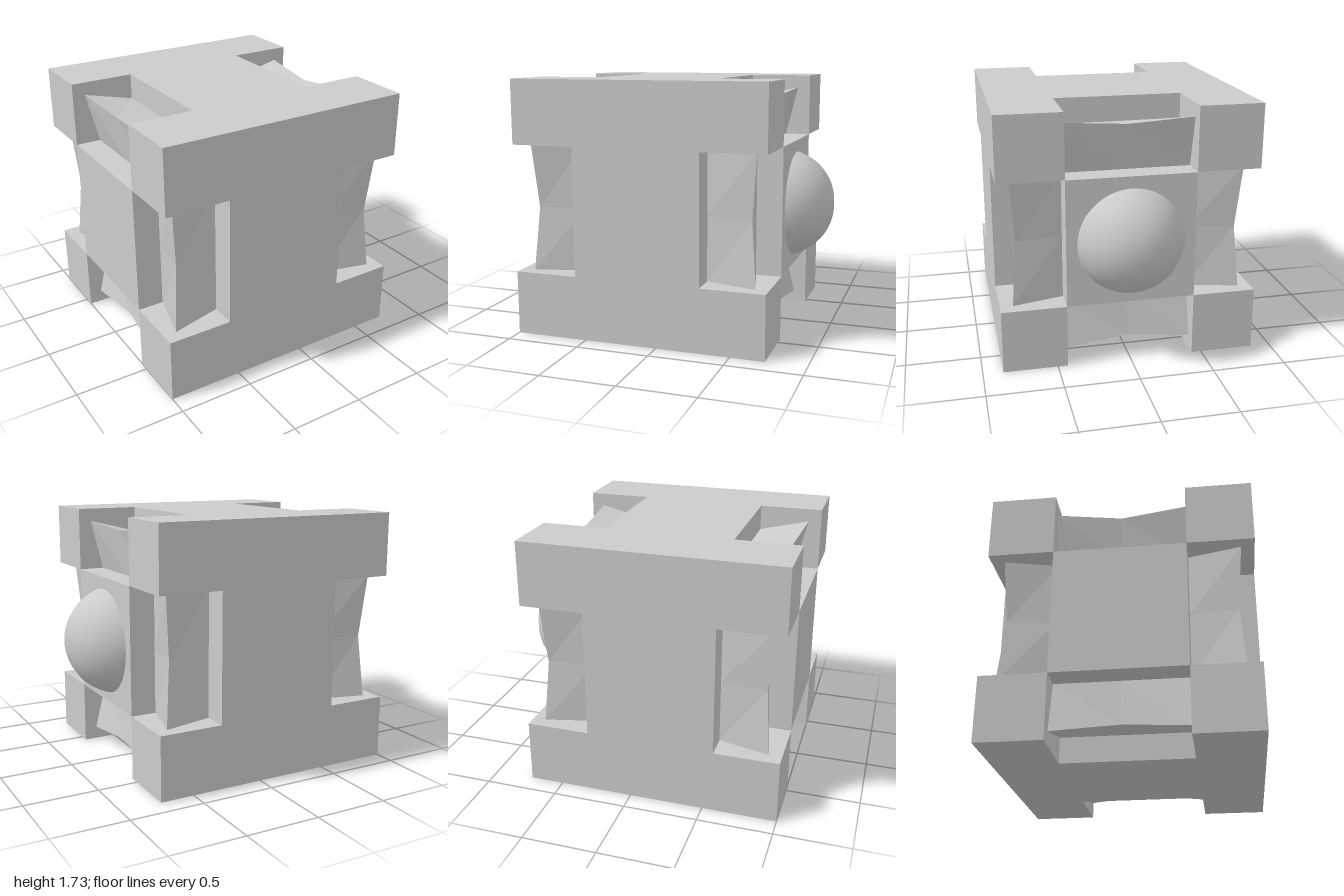
import * as THREE from 'three';

const H = 0.865;          // half side of the cube
const N = H / 2;          // notch depth, also half the notch length
const grey = new THREE.MeshStandardMaterial({ color: 0xcccccc });

function addMesh(parent, name, geometry, material = grey) {
  const mesh = new THREE.Mesh(geometry, material);
  mesh.name = name;
  parent.add(mesh);
  return mesh;
}

// Layer of the cube: an outline in the xy plane with a thickness along z
function layer(points, z0, z1) {
  const shape = new THREE.Shape(points.map(([x, y]) => new THREE.Vector2(x, y)));
  return new THREE.ExtrudeGeometry(shape, { depth: z1 - z0, bevelEnabled: false }).translate(0, 0, z0);
}

// Ridged bar along y with its ridge towards +x +z, pinched at mid length
function barGeometry() {
  const base = H - 0.173;
  const sections = [[-N, H - 0.087], [0, H - 0.122], [N, H - 0.087]];
  const positions = [];
  const index = [];
  for (const [y, ridge] of sections) {
    positions.push(N, y, base, ridge, y, ridge, base, y, N);
  }
  for (let s = 0; s < 2; s++) {
    for (let k = 0; k < 2; k++) {
      const a = s * 3 + k, b = a + 1, c = a + 4, d = a + 3;
      index.push(a, b, c, a, c, d);
    }
  }
  const indexed = new THREE.BufferGeometry();
  indexed.setAttribute('position', new THREE.Float32BufferAttribute(positions, 3));
  indexed.setIndex(index);
  const geometry = indexed.toNonIndexed();
  geometry.computeVertexNormals();
  return geometry;
}

export function createModel() {
  const model = new THREE.Group();
  model.name = 'notchedCube';
  const cube = new THREE.Group();
  cube.name = 'cube';
  cube.position.set(H - 1, H, 0);
  model.add(cube);

  // Front and back plates, notched at the middle of both sides
  const notched = [
    [-H, -H], [H, -H], [H, -N], [N, -N], [N, N], [H, N],
    [H, H], [-H, H], [-H, N], [-N, N], [-N, -N], [-H, -N],
  ];
  addMesh(cube, 'frontPlate', layer(notched, N, H));
  addMesh(cube, 'backPlate', layer(notched, -H, -N));

  // Middle layer, cross shaped: the top and bottom notches run through it
  const cross = [
    [-N, -H], [N, -H], [N, -N], [H, -N], [H, N], [N, N],
    [N, H], [-N, H], [-N, N], [-H, N], [-H, -N], [-N, -N],
  ];
  addMesh(cube, 'middleLayer', layer(cross, -N, N));

  // Four upright bars, and four lying in the top and bottom notches
  const bar = barGeometry();
  for (const [name, tilt] of [['uprightBars', 0], ['lyingBars', Math.PI / 2]]) {
    const bars = new THREE.Group();
    bars.name = name;
    bars.rotation.x = tilt;
    for (let i = 0; i < 4; i++) {
      addMesh(bars, 'gripBar', bar).rotation.y = i * Math.PI / 2;
    }
    cube.add(bars);
  }

  // Round knob half sunk into the +x side
  const knob = addMesh(model, 'knob', new THREE.SphereGeometry(0.375, 20, 40));
  knob.position.set(0.625, H - 0.008, 0);

  return model;
}
